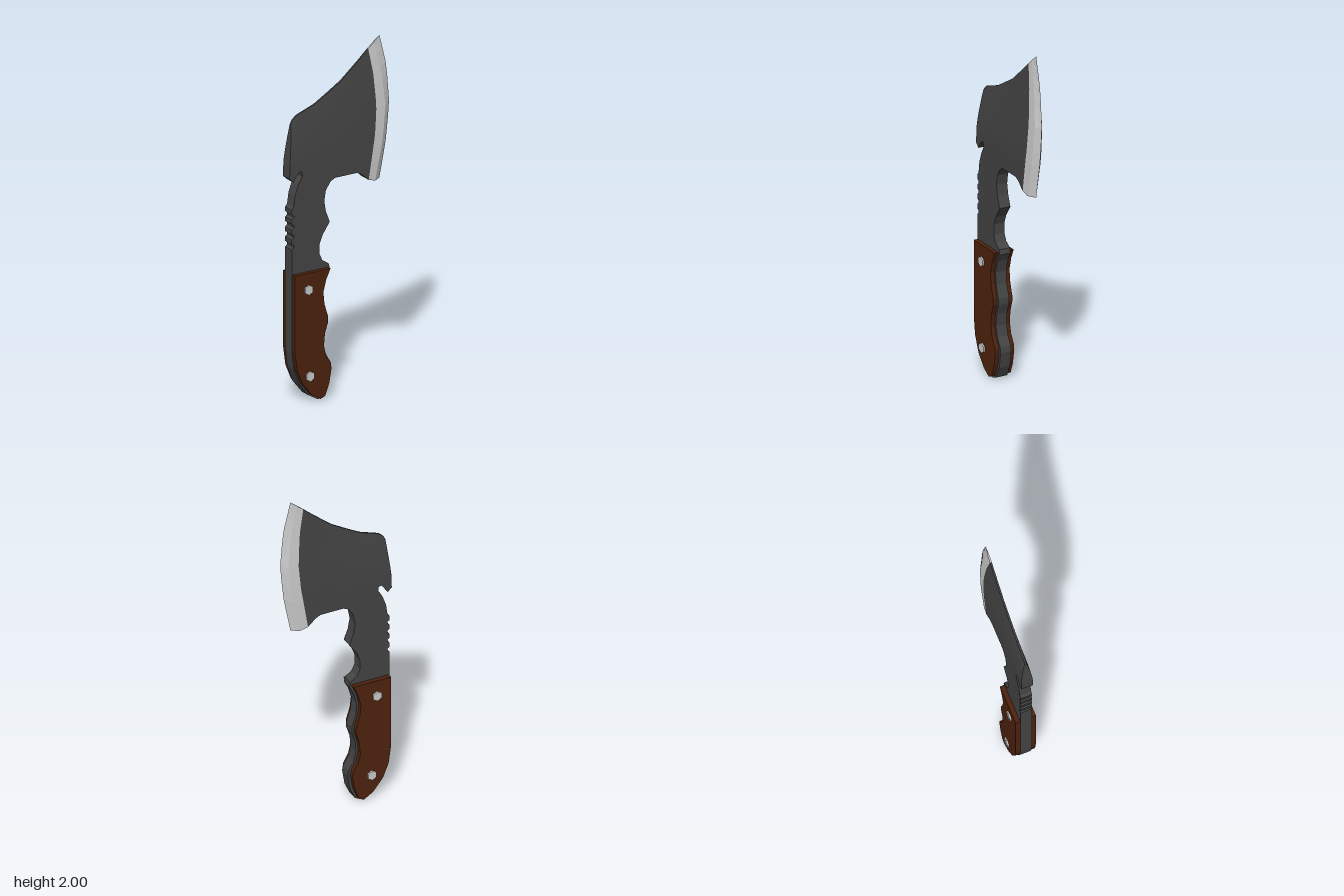
import * as THREE from 'three';

const HALF = 0.033;      // half thickness of the steel
const HEAD_Y = 1.38;     // the head starts to thin above this height

const steel = new THREE.MeshStandardMaterial({ color: 0x444444 });
steel.name = 'darkSteel';
const polished = new THREE.MeshStandardMaterial({ color: 0xcccccc });
polished.name = 'polishedSteel';
const wood = new THREE.MeshStandardMaterial({ color: 0x4e220e });
wood.name = 'brownWood';

// Piecewise linear lookup in [key, value] pairs
function lookup(pairs, k) {
  if (k <= pairs[0][0]) return pairs[0][1];
  for (let i = 1; i < pairs.length; i++) {
    const [k0, v0] = pairs[i - 1], [k1, v1] = pairs[i];
    if (k <= k1) return v0 + (v1 - v0) * (k - k0) / (k1 - k0);
  }
  return pairs[pairs.length - 1][1];
}

// Flat-shaded solid through closed rings of points, capped at both ends
function loft(rings) {
  const pos = [];
  const tri = (a, b, c) => pos.push(...a, ...b, ...c);
  const n = rings[0].length;
  for (let i = 0; i + 1 < rings.length; i++) {
    for (let j = 0; j < n; j++) {
      const k = (j + 1) % n;
      tri(rings[i][j], rings[i + 1][j], rings[i + 1][k]);
      tri(rings[i][j], rings[i + 1][k], rings[i][k]);
    }
  }
  const first = rings[0], last = rings[rings.length - 1];
  for (let j = 1; j + 1 < n; j++) {
    tri(first[0], first[j], first[j + 1]);
    tri(last[0], last[j + 1], last[j]);
  }
  const g = new THREE.BufferGeometry();
  g.setAttribute('position', new THREE.Float32BufferAttribute(pos, 3));
  g.computeVertexNormals();
  return g;
}

// Flat plate cut from an outline between two depths
function plate(points, z0, z1) {
  const shape = new THREE.Shape(points.map(([x, y]) => new THREE.Vector2(x, y)));
  const g = new THREE.ExtrudeGeometry(shape, { depth: z1 - z0, bevelEnabled: false });
  return g.translate(0, 0, z0);
}

// Curves of the head: back, border of the bevel, ridge, cutting edge (x by y)
const backX = [[1.38, -0.33], [1.6, -0.307]];
const innerX = [[1.195, 0.175], [1.45, 0.217], [1.61, 0.23], [1.8, 0.215], [1.936, 0.19]];
const ridgeX = [[1.18, 0.22], [1.4, 0.268], [1.6, 0.29], [1.8, 0.268], [1.966, 0.225]];
const edgeX = [[1.18, 0.265], [1.395, 0.307], [1.6, 0.328], [1.82, 0.31], [2.0, 0.265]];
// Top outline: fraction of the way forward, height
const topY = [[0, 1.6], [0.02, 1.622], [0.07, 1.645], [0.29, 1.687], [0.45, 1.735],
  [0.62, 1.788], [0.85, 1.878], [1, 1.936]];
const ROWS = 8;

// The steel is full thickness low down and nearly sharp at its top outline
const halfAt = (y, top) =>
  HALF - (HALF - 0.005) * Math.pow(Math.max(0, (y - HEAD_Y) / (top - HEAD_Y)), 1.5);

function headGeometry() {
  return loft(topY.map(([u, top]) => {
    const front = [], back = [];
    for (let r = 0; r <= ROWS; r++) {
      const y = HEAD_Y + (top - HEAD_Y) * r / ROWS;
      const x = THREE.MathUtils.lerp(lookup(backX, y), lookup(innerX, y), u);
      const z = halfAt(y, top);
      front.push([x, y, z]);
      back.unshift([x, y, -z]);
    }
    return [...front, ...back];
  }));
}

function bevelGeometry() {
  const ys = [1.195, 1.29];
  for (let r = 0; r <= ROWS; r++) ys.push(HEAD_Y + (1.936 - HEAD_Y) * r / ROWS);
  return loft(ys.map((y) => {
    const t = (y - 1.195) / (1.936 - 1.195);
    const ry = 1.18 + 0.786 * t, ey = 1.18 + 0.82 * t;
    const xi = lookup(innerX, y), xr = lookup(ridgeX, ry), xe = lookup(edgeX, ey);
    const z = halfAt(y, 1.936), zr = z * 0.85;
    return [[xe, ey, 0], [xr, ry, zr], [xi, y, z], [xi, y, -z], [xr, ry, -zr]];
  }));
}

// Lower head with hook notch, neck and tang
function tangOutline() {
  const pts = [[-0.33, HEAD_Y], [-0.332, 1.3], [-0.308, 1.277], [-0.285, 1.312], [-0.268, 1.33],
    [-0.253, 1.325], [-0.25, 1.302], [-0.275, 1.26], [-0.297, 1.2], [-0.306, 1.135]];
  // Thumb grip teeth
  for (let i = 0; i < 4; i++) {
    const y = 1.12 - i * 0.057;
    pts.push([-0.319, y], [-0.319, y - 0.025], [-0.305, y - 0.035], [-0.305, y - 0.045]);
  }
  pts.push([-0.318, 0.89], [-0.318, 0.3], [-0.305, 0.2], [-0.27, 0.11], [-0.21, 0.035],
    [-0.15, 0], [-0.11, 0.015], [-0.08, 0.08], [-0.065, 0.17], [-0.07, 0.2], [-0.1, 0.25],
    [-0.115, 0.31], [-0.11, 0.38], [-0.09, 0.44], [-0.09, 0.475], [-0.115, 0.55],
    [-0.12, 0.62], [-0.1, 0.69], [-0.075, 0.735], [-0.08, 0.765], [-0.12, 0.79],
    [-0.14, 0.83], [-0.14, 0.89], [-0.12, 0.94], [-0.075, 1.005], [-0.1, 1.07],
    [-0.11, 1.13], [-0.1, 1.19], [-0.07, 1.235], [-0.04, 1.25], [0.1, 1.25],
    [0.13, 1.235], [0.175, 1.195], [lookup(innerX, HEAD_Y), HEAD_Y]);
  return pts;
}

const scaleOutline = [[-0.313, 0.747], [-0.313, 0.3], [-0.299, 0.2], [-0.264, 0.115],
  [-0.205, 0.043], [-0.15, 0.01], [-0.12, 0.022], [-0.094, 0.09], [-0.08, 0.17],
  [-0.085, 0.2], [-0.114, 0.25], [-0.128, 0.31], [-0.122, 0.38], [-0.102, 0.44],
  [-0.102, 0.475], [-0.125, 0.55], [-0.132, 0.62], [-0.113, 0.69], [-0.086, 0.747]];

export function createModel() {
  const group = new THREE.Group();
  group.name = 'hatchet';
  const add = (name, geometry, material) => {
    const mesh = new THREE.Mesh(geometry, material);
    mesh.name = name;
    group.add(mesh);
    return mesh;
  };

  add('axeHead', headGeometry(), steel);
  add('neckAndTang', plate(tangOutline(), -HALF, HALF), steel);
  add('cuttingBevel', bevelGeometry(), polished);

  // Wooden handle scales
  add('frontHandleScale', plate(scaleOutline, HALF, 0.058), wood);
  add('backHandleScale', plate(scaleOutline, -0.06, -HALF), wood);

  // Hexagonal bolts: x, y, outer depth
  const bolts = [[-0.228, 0.652, 0.067], [-0.219, 0.154, 0.067],
    [-0.228, 0.652, -0.07], [-0.196, 0.154, -0.07]];
  for (const [x, y, z] of bolts) {
    const g = new THREE.CylinderGeometry(0.029, 0.029, 0.03, 6).toNonIndexed();
    g.computeVertexNormals();
    g.rotateX(Math.PI / 2);
    const bolt = add(z > 0 ? 'frontBolt' : 'backBolt', g, polished);
    bolt.position.set(x, y, z - Math.sign(z) * 0.015);
    bolt.rotation.z = 0;
  }
  return group;
}
